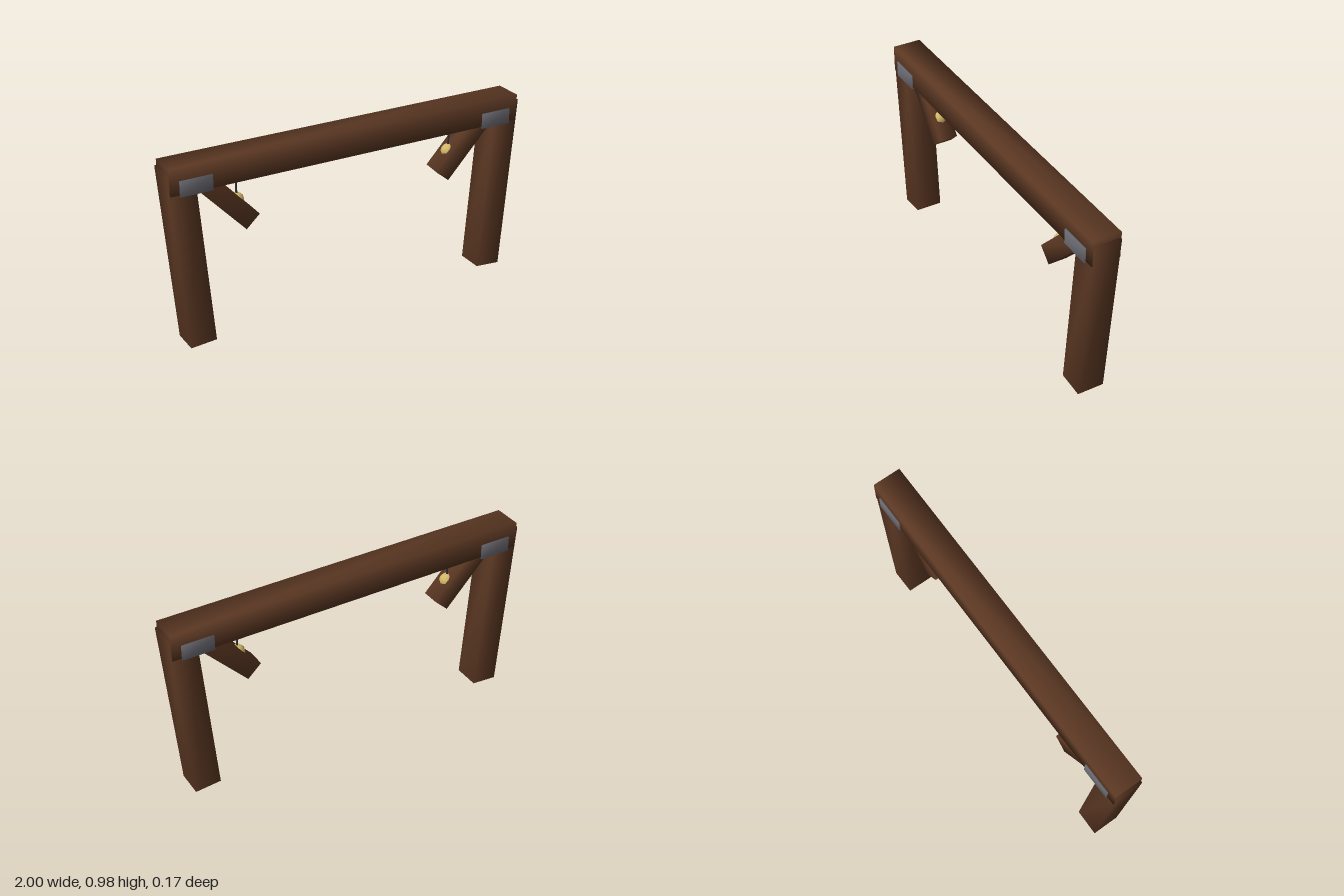
import * as THREE from 'three';
import { mergeVertices } from 'three/addons/utils/BufferGeometryUtils.js';

const material = (name, color) => {
  const m = new THREE.MeshStandardMaterial({ color });
  m.name = name;
  return m;
};

// Box whose corners share normals, for the soft shading of worn timber
function softBox(w, h, d) {
  const box = new THREE.BoxGeometry(w, h, d);
  box.deleteAttribute('uv');
  box.deleteAttribute('normal');
  const g = mergeVertices(box);
  g.computeVertexNormals();
  return g;
}

export function createModel() {
  const wood = material('dark wood', 0x5c3823);
  const iron = material('iron', 0x6c6c74);
  const cordGrey = material('dark cord', 0x36363c);
  const brass = material('brass', 0xd4b86a);

  const model = new THREE.Group();
  model.name = 'timberFrame';

  const add = (name, geometry, mat, x, y, z = 0, tilt = 0) => {
    const mesh = new THREE.Mesh(geometry, mat);
    mesh.name = name;
    mesh.position.set(x, y, z);
    mesh.rotation.z = tilt;
    model.add(mesh);
  };

  // Crossbeam
  add('crossbeam', softBox(1.976, 0.14, 0.154), wood, 0, 0.91);

  const postGeo = softBox(0.14, 0.952, 0.144);
  const braceGeo = softBox(0.1, 0.4, 0.1);
  const plateGeo = softBox(0.17, 0.082, 0.02);
  const cordGeo = new THREE.CylinderGeometry(0.005, 0.005, 0.12, 6);
  const bellGeo = new THREE.SphereGeometry(0.04, 8, 6);

  for (const [side, s] of [['left', 1], ['right', -1]]) {
    // Splayed post and diagonal brace
    add(side + 'Post', postGeo, wood, s * 0.892, 0.48, 0, -s * 0.08);
    add(side + 'Brace', braceGeo, wood, s * 0.689, 0.746, 0, -s * 0.75);

    // Iron plates on both faces of the joint
    add(side + 'FrontPlate', plateGeo, iron, s * 0.855, 0.872, 0.074);
    add(side + 'BackPlate', plateGeo, iron, s * 0.855, 0.872, -0.074);

    // Hanging bell
    add(side + 'Cord', cordGeo, cordGrey, s * 0.615, 0.8);
    add(side + 'Bell', bellGeo, brass, s * 0.615, 0.71);
  }
  return model;
}
